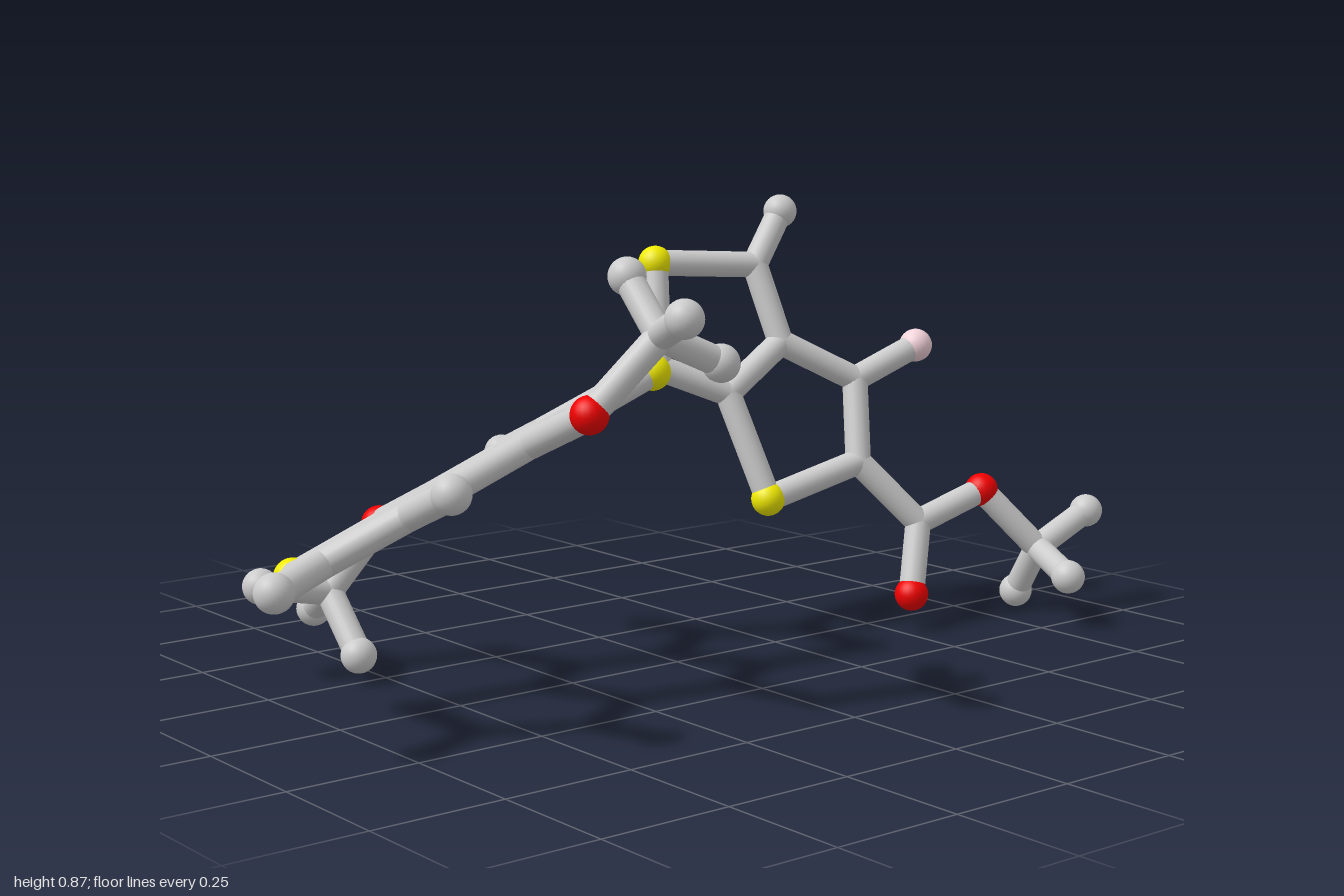
import * as THREE from 'three';

const BALL = 0.034, STICK = 0.026;
const COLORS = { C: 0xcccccc, H: 0xcccccc, S: 0xf0ea00, O: 0xf00000, F: 0xf2d3da };
const NAMES = { C: 'carbonJoint', H: 'hydrogenBall', S: 'sulfurBall', O: 'oxygenBall', F: 'fluorineBall' };

// The two flat ring systems: height over (x, z), and depth over (x, y)
const low = (x, z) => [x, 0.593 + 0.372 * x + 0.427 * z, z];
const high = (x, y) => [x, y, -0.04 + 0.286 * x - 0.338 * y];
// Point symmetry of the three-ring system
const flip = (x, z) => low(-0.898 - x, -0.018 - z);

// The first letter of each key is the kind of atom
const atoms = {
  // three fused rings
  S1: low(-0.79, -0.08), C1: low(-0.842, 0.112), C2: low(-0.725, 0.193),
  C3: low(-0.576, 0.102), C4: low(-0.598, -0.07), C5: low(-0.465, -0.142),
  S2: flip(-0.79, -0.08), C6: flip(-0.842, 0.112), C7: flip(-0.725, 0.193),
  C8: flip(-0.576, 0.102), C9: flip(-0.598, -0.07), C10: flip(-0.465, -0.142),
  H1: low(-0.966, 0.168), H2: low(-0.725, 0.322), H3: low(-0.172, -0.336),
  // front and back side arms
  O1: [-0.434, 0.56, 0.304], C11: [-0.315, 0.688, 0.345],
  H4: [-0.193, 0.634, 0.36], H5: [-0.358, 0.731, 0.464], H6: [-0.314, 0.783, 0.253],
  O2: [-0.465, 0.282, -0.32], C12: [-0.556, 0.157, -0.355],
  H7: [-0.697, 0.185, -0.363], H8: [-0.526, 0.1, -0.465], H9: [-0.555, 0.053, -0.255],
  // two fused upright rings
  S3: high(0.145, 0.745), C13: high(0.108, 0.543), C14: high(0.239, 0.487),
  C15: high(0.372, 0.58), C16: high(0.352, 0.734), S4: high(0.277, 0.28),
  C17: high(0.515, 0.5), C18: high(0.484, 0.338), H10: high(0.43, 0.838), F1: high(0.664, 0.56),
  // end arm
  C19: high(0.586, 0.212), O3: high(0.538, 0.074), O4: high(0.741, 0.265), C20: high(0.838, 0.142),
  H11: [0.965, 0.207, 0.17], H12: [0.853, 0.036, 0.08], H13: [0.797, 0.106, 0.276],
};

// Each chain is a run of joined atoms
const chains = {
  lowRings: ['S1 C1 C2 C3 C4 S1', 'C3 C10 C9 C8 C5 C4', 'C9 S2 C6 C7 C8', 'C1 H1', 'C2 H2', 'C7 H3'],
  frontArm: ['C10 O1 C11 H4', 'H5 C11 H6'],
  backArm: ['C5 O2 C12 H7', 'H8 C12 H9'],
  ringLink: ['C6 C13'],
  uprightRings: ['S3 C13 C14 C15 C16 S3', 'C14 S4 C18 C17 C15', 'C16 H10', 'C17 F1'],
  endArm: ['C18 C19 O4 C20 H11', 'C19 O3', 'H12 C20 H13'],
};

const UP = new THREE.Vector3(0, 1, 0);

export function createModel() {
  const model = new THREE.Group();
  model.name = 'molecule';
  const materials = {};
  for (const k in COLORS) materials[k] = new THREE.MeshStandardMaterial({ color: COLORS[k] });
  const ballGeometry = new THREE.SphereGeometry(BALL, 24, 16);
  const jointGeometry = new THREE.SphereGeometry(STICK, 20, 14);
  const stickGeometry = new THREE.CylinderGeometry(STICK, STICK, 1, 20, 1, true);

  // Balls at the atoms; carbon joints only round off the stick ends
  const balls = new THREE.Group();
  balls.name = 'balls';
  for (const key in atoms) {
    const kind = key[0];
    const ball = new THREE.Mesh(kind === 'C' ? jointGeometry : ballGeometry, materials[kind]);
    ball.position.set(...atoms[key]);
    ball.name = NAMES[kind];
    balls.add(ball);
  }
  model.add(balls);

  // Sticks between neighbouring atoms
  for (const part in chains) {
    const group = new THREE.Group();
    group.name = part;
    for (const chain of chains[part]) {
      const points = chain.split(' ').map((key) => new THREE.Vector3(...atoms[key]));
      for (let i = 1; i < points.length; i++) {
        const a = points[i - 1], b = points[i];
        const stick = new THREE.Mesh(stickGeometry, materials.C);
        stick.name = 'bondStick';
        stick.position.copy(a).lerp(b, 0.5);
        stick.scale.y = a.distanceTo(b);
        stick.quaternion.setFromUnitVectors(UP, b.clone().sub(a).normalize());
        group.add(stick);
      }
    }
    model.add(group);
  }
  return model;
}
